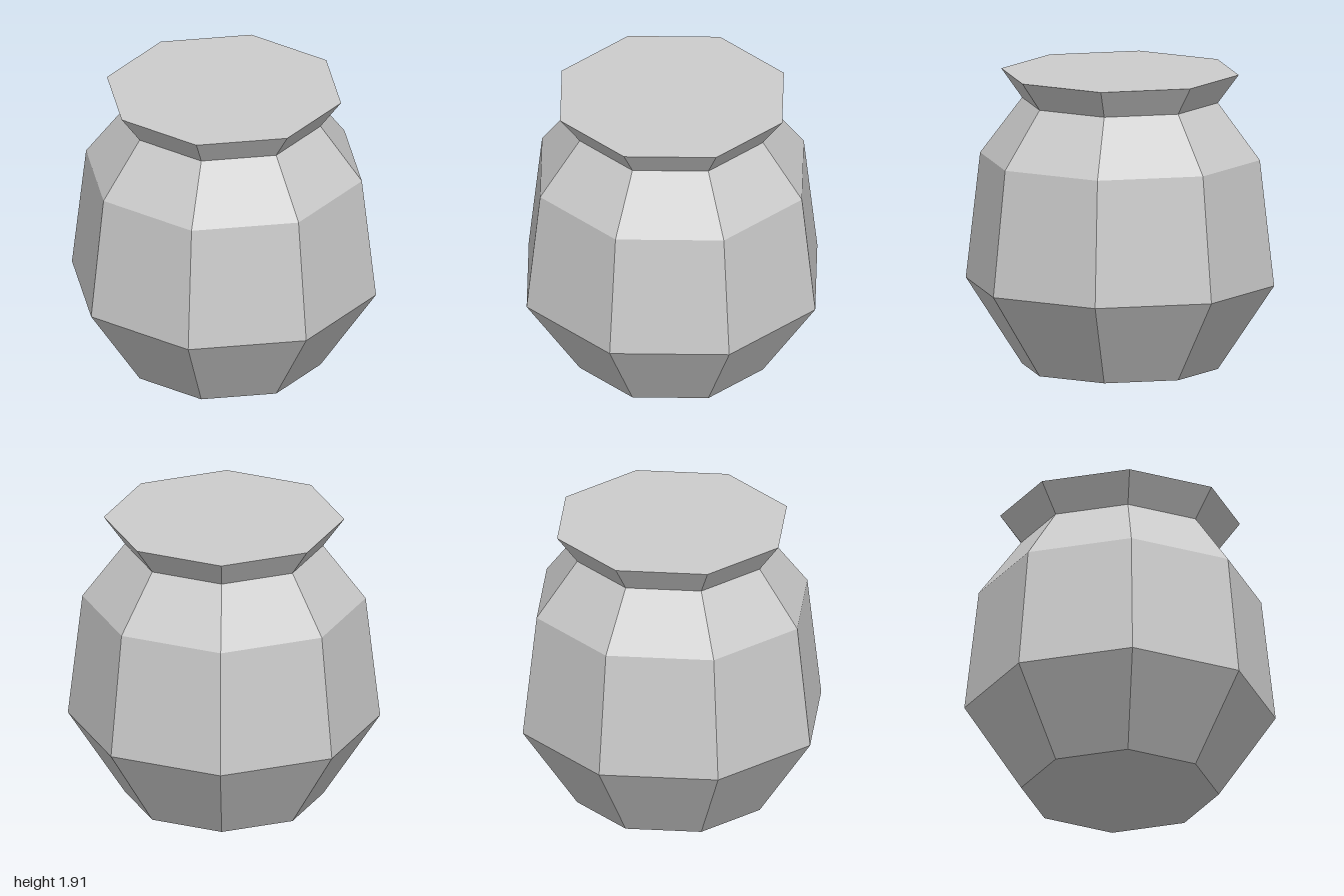
import * as THREE from 'three';

const SIDES = 8;

// Faceted band of revolution from [radius, height] points, listed bottom to top
function facetedBand(name, profile, material) {
  const points = profile.map(([r, y]) => new THREE.Vector2(r, y));
  const geometry = new THREE.LatheGeometry(points, SIDES).toNonIndexed();
  geometry.computeVertexNormals(); // flat facets
  const mesh = new THREE.Mesh(geometry, material);
  mesh.name = name;
  return mesh;
}

// Flat octagonal disc facing up or down
function disc(name, radius, y, up, material) {
  const geometry = new THREE.CircleGeometry(radius, SIDES);
  geometry.rotateX(up ? -Math.PI / 2 : Math.PI / 2);
  const mesh = new THREE.Mesh(geometry, material);
  mesh.position.y = y;
  mesh.name = name;
  return mesh;
}

export function createModel() {
  const clay = new THREE.MeshStandardMaterial({ color: 0xcccccc });
  clay.name = 'pale grey clay';

  const pot = new THREE.Group();
  pot.name = 'pot';
  pot.add(
    disc('base', 0.635, 0, false, clay),
    // Tapered foot, belly and shoulder
    facetedBand('body', [[0.635, 0], [1, 0.55], [0.907, 1.365], [0.635, 1.73]], clay),
    // Flared rim above the neck
    facetedBand('rim', [[0.635, 1.73], [0.77, 1.915]], clay),
    disc('lid', 0.77, 1.915, true, clay),
  );
  return pot;
}
